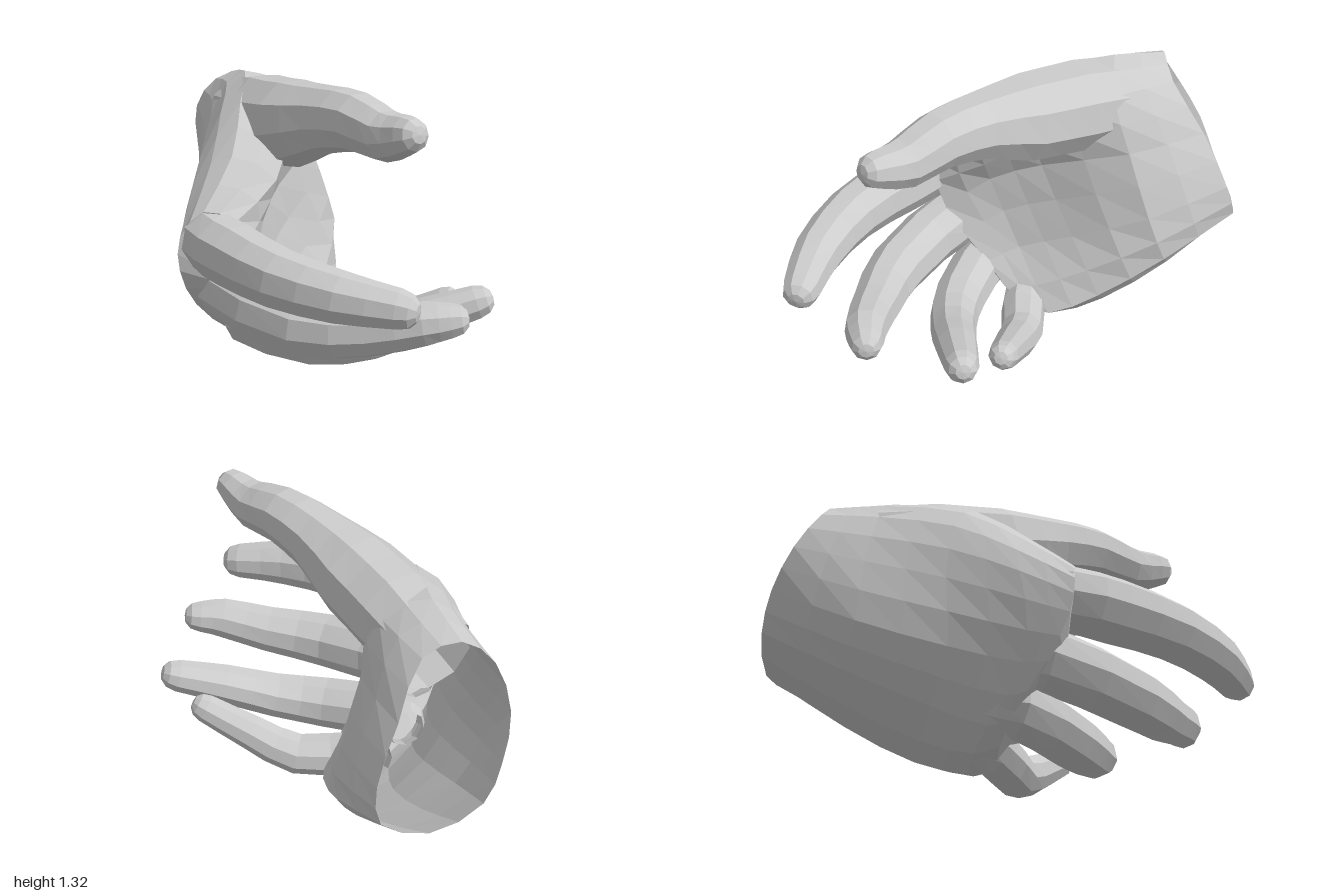
import * as THREE from 'three';

const V = (x, y, z) => new THREE.Vector3(x, y, z);
const skin = new THREE.MeshStandardMaterial({ color: 0xcccccc, flatShading: true, side: THREE.DoubleSide });

// Skin a list of rings (each the same number of points), closing the far end on a point.
function loft(name, rings, tip) {
  const n = rings[0].length, pos = [], idx = [];
  rings.forEach(r => r.forEach(p => pos.push(p.x, p.y, p.z)));
  for (let s = 0; s < rings.length - 1; s++) {
    for (let i = 0; i < n; i++) {
      const a = s * n + i, b = s * n + (i + 1) % n;
      idx.push(a, a + n, b, b, a + n, b + n);
    }
  }
  const last = (rings.length - 1) * n;
  pos.push(tip.x, tip.y, tip.z);
  for (let i = 0; i < n; i++) idx.push(last + i, last + n, last + (i + 1) % n);
  const g = new THREE.BufferGeometry();
  g.setAttribute('position', new THREE.Float32BufferAttribute(pos, 3));
  g.setIndex(idx);
  g.computeVertexNormals();
  const mesh = new THREE.Mesh(g, skin);
  mesh.name = name;
  return mesh;
}

// A finger through [x, y, z, radius] joints, with a rounded tip.
function finger(name, joints, sides = 9) {
  const path = new THREE.CatmullRomCurve3(joints.map(j => V(j[0], j[1], j[2])));
  const steps = (joints.length - 1) * 2, rings = [];
  const ring = (c, d, r) => {
    const w = V(0, 1, 0).cross(d).normalize(), u = d.clone().cross(w);
    return Array.from({ length: sides }, (_, i) => {
      const a = ((i + 0.5) / sides) * Math.PI * 2;
      return c.clone().addScaledVector(u, Math.cos(a) * r).addScaledVector(w, Math.sin(a) * r);
    });
  };
  let c, d, r;
  for (let i = 0; i <= steps; i++) {
    const k = Math.min(Math.floor(i / 2), joints.length - 2);
    r = THREE.MathUtils.lerp(joints[k][3], joints[k + 1][3], i / 2 - k);
    c = path.getPoint(i / steps);
    d = path.getTangent(i / steps);
    rings.push(ring(c, d, r));
  }
  rings.push(ring(c.clone().addScaledVector(d, r * 0.6), d, r * 0.82));
  rings.push(ring(c.clone().addScaledVector(d, r * 0.93), d, r * 0.45));
  return loft(name, rings, c.clone().addScaledVector(d, r));
}

// Palm cross-sections from the open wrist to the knuckles:
// thumb edge, down the palm, little-finger edge, up the back of the hand.
const palmSections = [
  [[-0.58, 1.2, -0.65], [-0.42, 1.14, -0.69], [-0.33, 0.92, -0.84], [-0.25, 0.68, -0.96], [-0.27, 0.52, -1],
    [-0.47, 0.48, -1], [-0.69, 0.58, -0.92], [-0.76, 0.74, -0.85], [-0.79, 0.92, -0.74], [-0.72, 1.1, -0.65]],
  [[-0.46, 1.25, -0.42], [-0.24, 1.16, -0.42], [-0.17, 0.9, -0.5], [-0.09, 0.6, -0.6], [-0.08, 0.38, -0.68],
    [-0.28, 0.27, -0.7], [-0.59, 0.4, -0.58], [-0.69, 0.57, -0.48], [-0.69, 0.85, -0.45], [-0.62, 1.1, -0.42]],
  [[-0.4, 1.18, -0.05], [-0.18, 1.05, -0.05], [-0.24, 0.78, -0.1], [-0.14, 0.45, -0.25], [-0.02, 0.2, -0.38],
    [-0.18, 0.1, -0.4], [-0.46, 0.23, -0.22], [-0.58, 0.44, -0.1], [-0.61, 0.75, -0.1], [-0.57, 1.02, -0.08]],
  [[-0.38, 0.99, 0.22], [-0.19, 0.88, 0.18], [-0.26, 0.68, 0.14], [-0.18, 0.35, 0], [0, 0.1, -0.15],
    [-0.18, 0.02, -0.15], [-0.41, 0.13, 0.02], [-0.53, 0.34, 0.22], [-0.59, 0.6, 0.25], [-0.56, 0.86, 0.2]],
  [[-0.46, 0.79, 0.43], [-0.32, 0.75, 0.43], [-0.25, 0.52, 0.35], [-0.15, 0.28, 0.15], [-0.05, 0.1, -0.01],
    [-0.21, 0.03, -0.01], [-0.41, 0.14, 0.12], [-0.53, 0.33, 0.32], [-0.57, 0.52, 0.44], [-0.56, 0.68, 0.46]],
];

function palm() {
  const around = 20, along = 8;
  const loops = palmSections.map(s => {
    const curve = new THREE.CatmullRomCurve3(s.map(p => V(...p)), true);
    return Array.from({ length: around }, (_, i) => curve.getPoint(i / around));
  });
  const lines = loops[0].map((_, i) => new THREE.CatmullRomCurve3(loops.map(l => l[i])));
  const rings = Array.from({ length: along + 1 }, (_, s) => lines.map(l => l.getPoint(s / along)));
  return loft('palm', rings, V(-0.32, 0.42, 0.34));
}

export function createModel() {
  const hand = new THREE.Group();
  hand.name = 'hand';
  hand.add(
    palm(),
    // The thumb starts as a broad muscle that merges into the palm.
    finger('thumb', [[-0.47, 1.03, -0.5, 0.19], [-0.32, 1.06, -0.25, 0.21], [-0.14, 1.1, -0.01, 0.2],
      [0.04, 1.165, 0.18, 0.15], [0.2, 1.19, 0.33, 0.13], [0.34, 1.165, 0.46, 0.112], [0.44, 1.195, 0.56, 0.084]]),
    finger('indexFinger', [[-0.45, 0.67, 0.2, 0.1], [-0.43, 0.65, 0.39, 0.145], [-0.28, 0.635, 0.56, 0.145],
      [-0.05, 0.61, 0.76, 0.13], [0.22, 0.585, 0.88, 0.112], [0.46, 0.565, 0.92, 0.086]]),
    finger('middleFinger', [[-0.42, 0.42, 0.15, 0.1], [-0.39, 0.4, 0.28, 0.145], [0, 0.34, 0.56, 0.132],
      [0.3, 0.36, 0.62, 0.112], [0.53, 0.41, 0.635, 0.097], [0.64, 0.425, 0.62, 0.077]]),
    finger('ringFinger', [[-0.38, 0.24, 0, 0.09], [-0.33, 0.22, 0.13, 0.13], [0, 0.18, 0.27, 0.122],
      [0.25, 0.21, 0.28, 0.107], [0.5, 0.3, 0.24, 0.094], [0.71, 0.37, 0.2, 0.077]]),
    finger('littleFinger', [[-0.26, 0.13, -0.12, 0.08], [-0.18, 0.115, -0.04, 0.11], [0.13, 0.1, -0.03, 0.098],
      [0.35, 0.2, 0, 0.084], [0.56, 0.31, 0.03, 0.068]]),
  );
  return hand;
}
